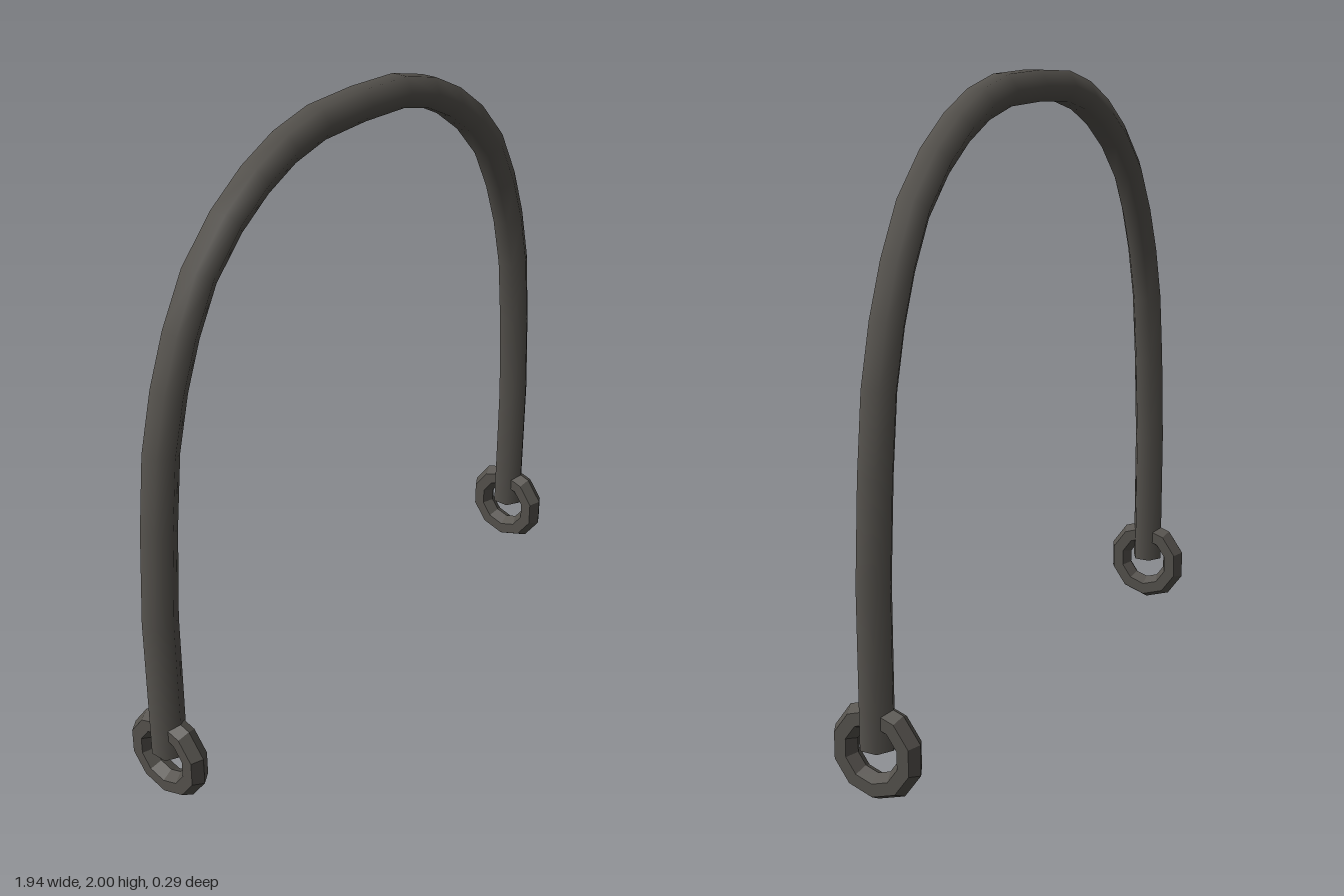
import * as THREE from 'three';

export function createModel() {
  const model = new THREE.Group();
  const smooth = new THREE.MeshStandardMaterial({ color: 0x55524d });
  const flat = new THREE.MeshStandardMaterial({ color: 0x55524d, flatShading: true });
  const legX = 0.92, endY = 0.16, barRadius = 0.055;

  const add = (name, geometry, material, x = 0, y = 0) => {
    const mesh = new THREE.Mesh(geometry, material);
    mesh.name = name;
    mesh.position.set(x, y, 0);
    model.add(mesh);
  };

  // Centreline of the arch: one half from foot to crown, then mirrored
  const half = [
    [legX, endY], [legX, 0.64], [0.9, 0.94], [0.873, 1.175], [0.828, 1.35], [0.77, 1.5],
    [0.69, 1.645], [0.575, 1.765], [0.455, 1.85], [0.33, 1.91], [0.19, 1.945],
  ];
  const points = [
    ...half.map(([x, y]) => new THREE.Vector3(-x, y, 0)),
    new THREE.Vector3(0, 1.952, 0),
    ...half.map(([x, y]) => new THREE.Vector3(x, y, 0)).reverse(),
  ];
  const curve = new THREE.CatmullRomCurve3(points);
  // Place one cross-section at each point, so the bends keep their facets
  curve.getPointAt = curve.getPoint;
  curve.getTangentAt = curve.getTangent;

  // Six-sided bar
  add('archBar', new THREE.TubeGeometry(curve, points.length - 1, barRadius, 6), smooth);

  for (const [side, sign] of [['left', 1], ['right', -1]]) {
    // Flat cap closing the foot of the bar
    const cap = new THREE.CircleGeometry(barRadius, 6).rotateZ(Math.PI / 6).rotateX(Math.PI / 2);
    add(side + 'EndCap', cap, flat, sign * legX, endY);

    // Ten-sided ring through the foot, facing sideways
    const ring = new THREE.TorusGeometry(0.11, 0.04, 6, 10).rotateZ(Math.PI / 2).rotateY(Math.PI / 2);
    add(side + 'Ring', ring, flat, sign * legX, 0.15);
  }
  return model;
}
